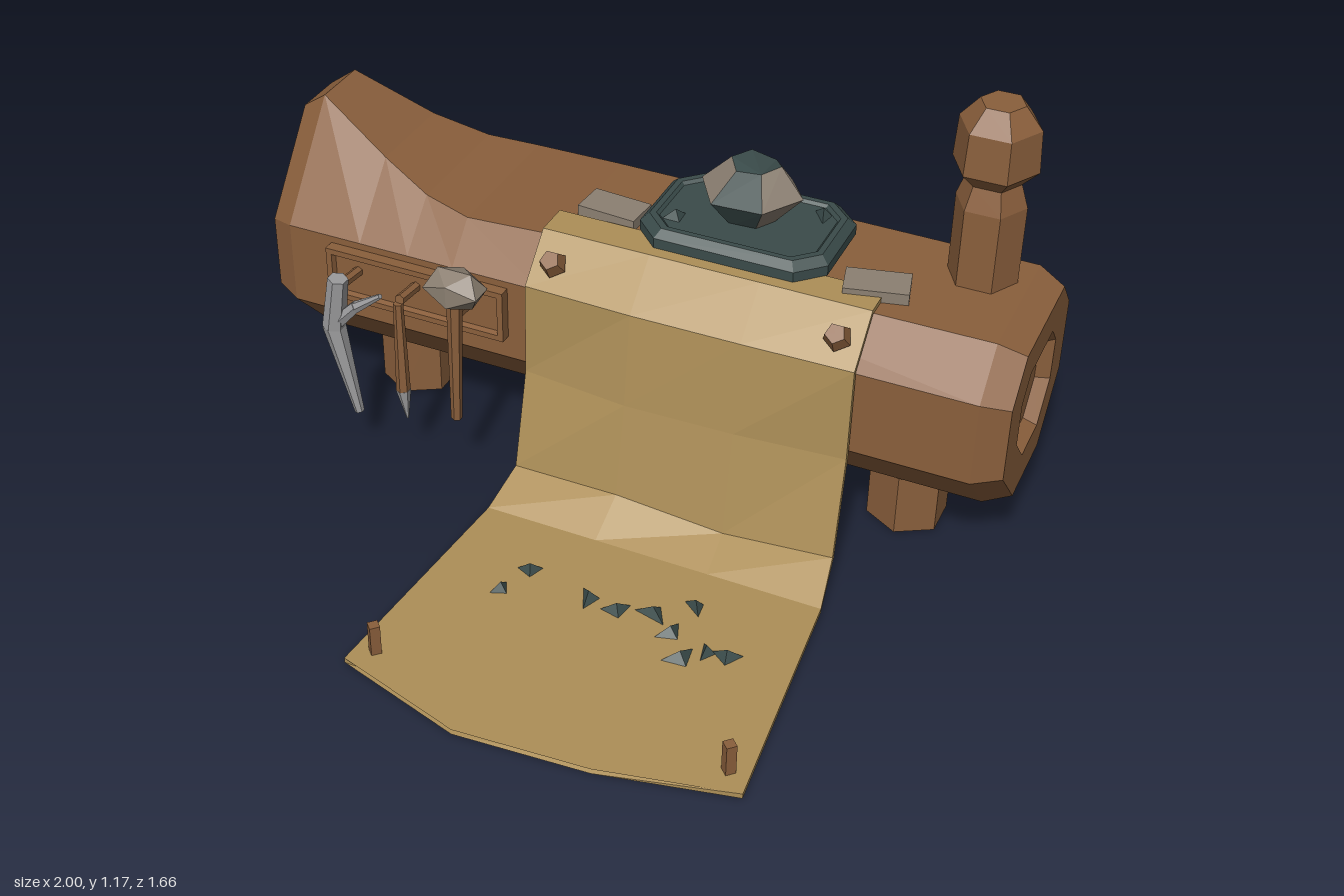
import * as THREE from 'three';

const V = (x, y, z) => new THREE.Vector3(x, y, z);
const mat = (name, color) => Object.assign(new THREE.MeshStandardMaterial({ color }), { name });

// Faceted normals for any geometry
function facet(g) {
  const f = g.index ? g.toNonIndexed() : g;
  f.computeVertexNormals();
  return f;
}

// Skin of equal-sized rings with capped ends; pick(i, j) chooses a material slot per facet
function loft(rings, pick) {
  const pos = [], geo = new THREE.BufferGeometry(), n = rings[0].length;
  const face = (slot, ...pts) => {
    if (pick) geo.addGroup(pos.length / 3, pts.length, slot);
    pts.forEach(p => pos.push(p.x, p.y, p.z));
  };
  for (let i = 0; i < rings.length - 1; i++) for (let j = 0; j < n; j++) {
    const k = (j + 1) % n, a = rings[i][j], b = rings[i][k], c = rings[i + 1][k], d = rings[i + 1][j];
    face(pick ? pick(i, j) : 0, a, b, c, a, c, d);
  }
  const s = rings[0], e = rings[rings.length - 1];
  for (let j = 1; j < n - 1; j++) {
    face(0, s[0], s[j + 1], s[j]);
    face(0, e[0], e[j], e[j + 1]);
  }
  geo.setAttribute('position', new THREE.Float32BufferAttribute(pos, 3));
  geo.computeVertexNormals();
  return geo;
}

// Tapered rod between two points
function rod(a, b, r0, r1, sides = 6) {
  const dir = b.clone().sub(a), len = dir.length();
  const g = new THREE.CylinderGeometry(r1, r0, len, sides);
  g.applyQuaternion(new THREE.Quaternion().setFromUnitVectors(V(0, 1, 0), dir.normalize()));
  g.translate((a.x + b.x) / 2, (a.y + b.y) / 2, (a.z + b.z) / 2);
  return facet(g);
}

export function createModel() {
  const root = new THREE.Group();
  const wood = mat('wood', 0x8a5f3c), cloth = mat('hide', 0xad8f58), slate = mat('slate', 0x3a4b4a);
  const stone = mat('stone', 0x8c8072), bone = mat('bone grey', 0x9a9a9c);
  const add = (name, geo, material) => {
    const m = new THREE.Mesh(geo, material);
    m.name = name;
    root.add(m);
    return m;
  };

  // Main log: eight-sided, raised at one end, recessed at both ends
  const section = (x, s, top, zf, zb) => [
    [top, zf], [0.58, -0.115], [0.35, -0.115], [0.178, -0.275],
    [0.178, -0.53], [0.35, -0.692], [0.58, -0.692], [top, zb],
  ].map(([y, z]) => V(x, 0.44 + (y - 0.44) * s, -0.404 + (z + 0.404) * s));
  const hi = [0.86, -0.33, -0.485], lo = [0.69, -0.22, -0.59];
  add('log', loft([
    section(-0.965, 0.45, ...hi), section(-1, 0.52, ...hi), section(-1, 0.88, ...hi),
    section(-0.93, 1, ...hi), section(-0.72, 1, 0.755, -0.27, -0.53),
    section(-0.58, 1, 0.7, -0.23, -0.575), section(-0.45, 1, 0.68, -0.205, -0.612),
    section(-0.2, 1, 0.69, -0.21, -0.6), section(0.93, 1, ...lo),
    section(1, 0.88, ...lo), section(1, 0.52, ...lo), section(0.965, 0.45, ...lo),
  ]), wood);

  // Rear log lying on the ground
  const hex = (x, s) => [0, 1, 2, 3, 4, 5].map(i =>
    V(x, 0.136 - 0.136 * s * Math.sin(i * Math.PI / 3) / 0.866, -0.678 + 0.157 * s * Math.cos(i * Math.PI / 3)));
  add('rearLog', loft([hex(-0.838, 0.8), hex(-0.805, 1), hex(0.805, 1), hex(0.838, 0.8)]), wood);

  // Legs and post
  for (const x of [-0.715, 0.715]) add('leg', rod(V(x, 0, -0.385), V(x, 0.26, -0.385), 0.105, 0.105), wood);
  const post = new THREE.LatheGeometry([
    [0, 0.66], [0.088, 0.66], [0.088, 0.9], [0.068, 0.96], [0.106, 1.0], [0.1, 1.11], [0.055, 1.165], [0, 1.165],
  ].map(p => new THREE.Vector2(...p)), 6);
  add('post', facet(post.rotateY(Math.PI / 2).translate(0.813, 0, -0.49)), wood);

  // Hide draped over the log and along the ground: y, z, left x, right x, fold, normal y, normal z
  const drape = [
    [0.705, -0.3, -0.235, 0.63, 0, 1, 0], [0.705, -0.205, -0.235, 0.63, 0, 0.9, 0.4],
    [0.595, -0.098, -0.235, 0.63, 0.008, 0.4, 0.9], [0.34, -0.092, -0.235, 0.63, 0.03, 0.1, 1],
    [0.075, -0.03, -0.238, 0.635, 0.012, 0.6, 0.8], [0.016, 0.09, -0.258, 0.653, 0, 1, 0],
    [0.016, 0.73, -0.31, 0.705, 0.1, 1, 0],
  ];
  add('hide', loft(drape.map(([y, z, xl, xr, fold, ny, nz], row) => {
    const outer = [0, 0.335, 0.67, 1].map((t, c) => V(xl + (xr - xl) * t,
      y + (row === 4 ? [0, 0.012, -0.014, 0.004][c] : 0), z + fold * [0, 1, 0.75, 0][c]));
    const inner = outer.map(p => V(p.x, p.y - 0.014 * ny, p.z - 0.014 * nz));
    return [...outer.reverse(), ...inner];
  })), cloth);

  // Pegs pinning the hide
  for (const x of [-0.255, 0.65]) add('groundPeg', rod(V(x, 0, 0.678), V(x, 0.1, 0.678), 0.018, 0.018, 4), wood);
  for (const x of [-0.175, 0.57]) {
    add('topPeg', rod(V(x, 0.6, -0.19), V(x, 0.665, -0.13), 0.016, 0.016, 5), wood);
    add('topPegHead', rod(V(x, 0.65, -0.142), V(x, 0.678, -0.117), 0.036, 0.026, 5), wood);
  }

  // Slate slab with cut corners and a shallow tray
  const oct = (y, d) => {
    const w = 0.248 - d, h = 0.168 - d, c = 0.065 - d * 0.4;
    return [[w, h - c], [w, c - h], [w - c, -h], [c - w, -h], [-w, c - h], [-w, h - c], [c - w, h], [w - c, h]]
      .map(([x, z]) => V(0.233 + x, y, -0.407 + z));
  };
  add('slab', loft([oct(0.688, 0.015), oct(0.705, 0), oct(0.732, 0), oct(0.752, 0.02), oct(0.752, 0.035), oct(0.744, 0.042)]), slate);

  // Core rock with some pale facets
  const rockRing = (y, r, turn, dx = 0) => [0, 1, 2, 3, 4, 5].map(i => {
    const a = turn + i * Math.PI / 3;
    return V(0.235 + dx + r * Math.sin(a), y + 0.008 * Math.sin(i * 2.3), -0.42 + r * 0.85 * Math.cos(a));
  });
  const pale = ['1-0', '1-1', '0-0', '1-4'];
  add('coreRock', loft([rockRing(0.74, 0.065, 0.5), rockRing(0.82, 0.135, 0.5), rockRing(0.898, 0.066, 0.5, 0.008)],
    (i, j) => (pale.includes(i + '-' + j) ? 1 : 0)), [slate, stone]);

  // Flakes: x, y, z, size, turn
  const flakes = [
    [-0.05, 0.016, 0.265, 0.038, 0.4], [-0.085, 0.016, 0.357, 0.034, 1.2], [0.125, 0.016, 0.295, 0.045, 2.0],
    [0.205, 0.016, 0.307, 0.045, 0.6], [0.29, 0.016, 0.28, 0.052, 2.9], [0.355, 0.016, 0.325, 0.046, 1.1],
    [0.375, 0.016, 0.215, 0.038, 2.5], [0.41, 0.016, 0.395, 0.052, 0.9], [0.46, 0.016, 0.35, 0.036, 1.8],
    [0.51, 0.016, 0.345, 0.045, 0.2], [0.07, 0.746, -0.33, 0.036, 0.8], [0.4, 0.746, -0.49, 0.036, 2.2],
  ];
  for (const [x, y, z, s, turn] of flakes) {
    const g = new THREE.ConeGeometry(s, 0.026, 3).scale(1, 1, 0.62).rotateY(turn);
    add('flake', facet(g.translate(x, y + 0.012, z)), slate);
  }

  // Flat stones beside the slab
  for (const [x, z, turn] of [[-0.11, -0.36, -0.08], [0.605, -0.31, 0.24]]) {
    add('flatStone', new THREE.BoxGeometry(0.16, 0.04, 0.095).rotateY(turn).translate(x, 0.7, z), stone);
  }

  // Tool rack with raised frame and pegs
  const rect = (z, d) => [[1, -1], [1, 1], [-1, 1], [-1, -1]].map(([x, y]) =>
    V(-0.55 + x * (0.256 - d), 0.488 + y * (0.073 - d), z));
  add('toolRack', loft([rect(-0.13, 0), rect(-0.085, 0), rect(-0.085, 0.016), rect(-0.1, 0.02)]), wood);
  for (const x of [-0.72, -0.55, -0.39]) add('rackPeg', rod(V(x, 0.505, -0.1), V(x, 0.515, -0.015), 0.014, 0.014), wood);

  // Forked bone tool
  const forks = [
    [[-0.725, 0.535], [-0.748, 0.38], 0.027, 0.031], [[-0.748, 0.385], [-0.69, 0.125], 0.031, 0.013],
    [[-0.735, 0.4], [-0.675, 0.465], 0.02, 0.016], [[-0.678, 0.46], [-0.602, 0.515], 0.016, 0.007],
  ];
  for (const [a, b, r0, r1] of forks) add('forkedBone', rod(V(...a, -0.008), V(...b, -0.008), r0, r1), bone);

  // Awl
  add('awlHandle', rod(V(-0.553, 0.23, -0.012), V(-0.553, 0.505, -0.012), 0.019, 0.013), wood);
  add('awlTip', rod(V(-0.545, 0.145, -0.012), V(-0.553, 0.235, -0.012), 0.003, 0.02), bone);

  // Hammer with a stone head
  add('hammerHandle', rod(V(-0.396, 0.195, -0.01), V(-0.388, 0.57, -0.01), 0.015, 0.021), wood);
  const head = new THREE.IcosahedronGeometry(1).scale(0.088, 0.06, 0.06).translate(-0.385, 0.6, -0.01);
  add('hammerHead', facet(head), stone);

  return root;
}
